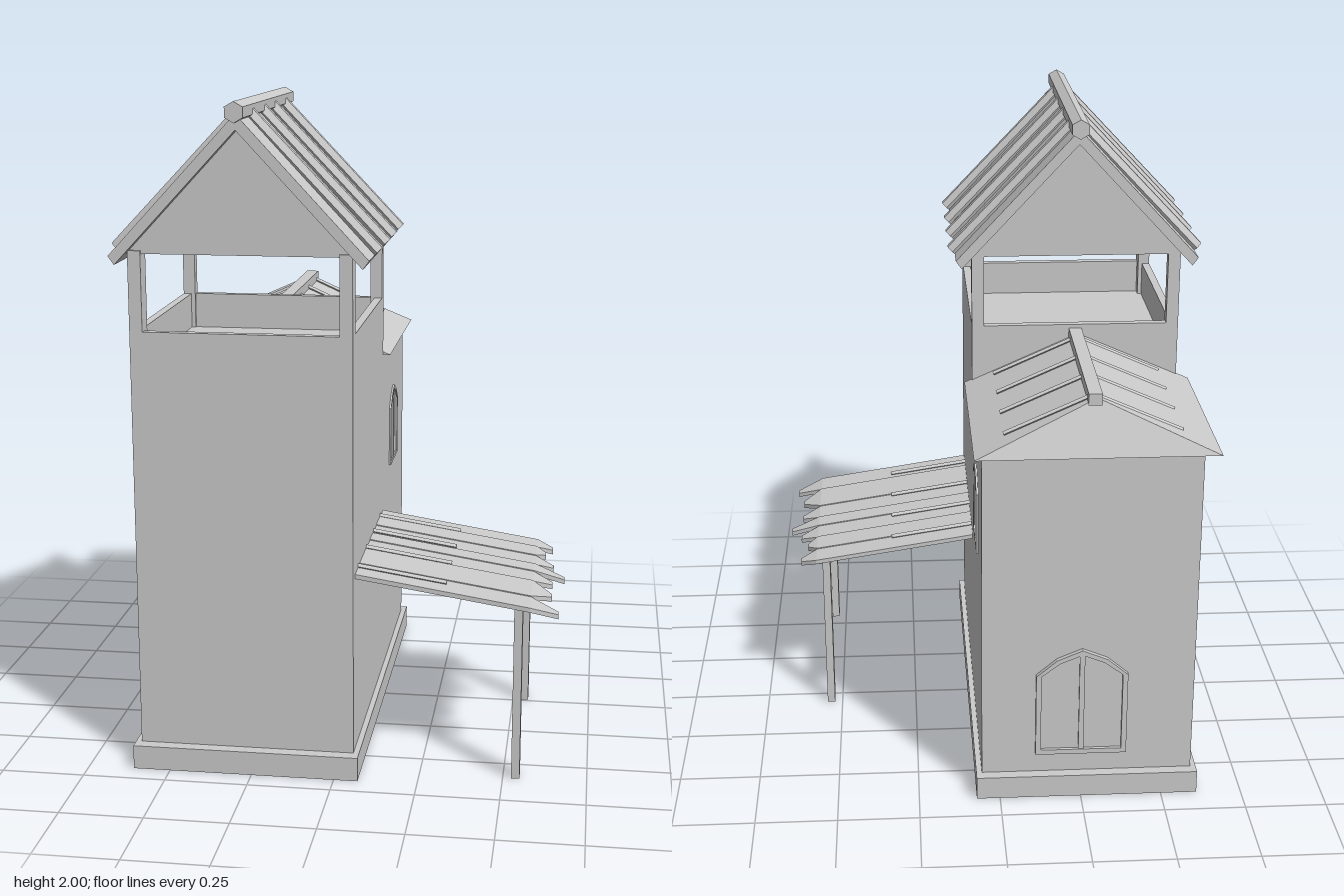
import * as THREE from 'three';

const CX = -0.27; // centre line of the buildings
const mat = new THREE.MeshStandardMaterial({ color: 0xcccccc, flatShading: true });

function add(parent, name, geo) {
  const m = new THREE.Mesh(geo, mat);
  m.name = name;
  parent.add(m);
  return m;
}

// Box given by its limits
function block(parent, name, x0, x1, y0, y1, z0, z1) {
  const m = add(parent, name, new THREE.BoxGeometry(x1 - x0, y1 - y0, z1 - z0));
  m.position.set((x0 + x1) / 2, (y0 + y1) / 2, (z0 + z1) / 2);
  return m;
}

function polygon(points) {
  return new THREE.Shape(points.map(p => new THREE.Vector2(p[0], p[1])));
}

// Outline in x,y pushed along z
function prism(points, z0, z1) {
  const g = new THREE.ExtrudeGeometry(polygon(points), { depth: z1 - z0, bevelEnabled: false });
  return g.translate(0, 0, z0);
}

// Straight rod between two points
function rod(parent, name, a, b, radius, sides) {
  const from = new THREE.Vector3(...a), dir = new THREE.Vector3(...b).sub(from);
  const m = add(parent, name, new THREE.CylinderGeometry(radius, radius, dir.length(), sides));
  m.position.copy(from).addScaledVector(dir, 0.5);
  m.quaternion.setFromUnitVectors(new THREE.Vector3(0, 1, 0), dir.normalize());
  return m;
}

// Pointed window: frame with a mullion, facing +z before turning
function archedWindow(parent, name, w, h, depth, bar) {
  const outline = (k) => {
    const hw = w / 2 - k;
    return [[-hw, k], [hw, k], [hw, h * 0.76], [hw * 0.55, h * 0.91 - k * 0.7], [0, h - k],
      [-hw * 0.55, h * 0.91 - k * 0.7], [-hw, h * 0.76]];
  };
  const win = new THREE.Group();
  win.name = name;
  const shape = polygon(outline(0));
  shape.holes.push(polygon(outline(bar)));
  add(win, 'windowFrame', new THREE.ExtrudeGeometry(shape, { depth, bevelEnabled: false }));
  block(win, 'windowMullion', -bar / 2, bar / 2, bar, h - bar, 0, depth * 0.8);
  add(win, 'windowPane', prism(outline(bar * 0.5), 0, depth * 0.3));
  parent.add(win);
  return win;
}

function buildTower(g) {
  const x0 = -0.595, x1 = 0.055, z0 = -0.06, z1 = 0.645, top = 1.34, t = 0.025;
  block(g, 'towerBody', x0, x1, 0.07, 1.23, z0, z1);
  // Parapet around the lookout floor
  block(g, 'parapetFront', x0, x1, 1.23, top, z1 - t, z1);
  block(g, 'parapetBack', x0, x1, 1.23, top, z0, z0 + t);
  block(g, 'parapetRight', x0, x0 + t, 1.23, top, z0 + t, z1 - t);
  block(g, 'parapetLeft', x1 - t, x1, 1.23, top, z0 + t, z1 - t);
  for (const x of [x0, x1 - 0.038]) {
    block(g, 'lookoutPost', x, x + 0.038, 1.23, 1.575, z1 - 0.058, z1);
    block(g, 'lookoutPost', x, x + 0.038, 1.23, 1.575, z0, z0 + 0.032);
  }
}

function buildTowerRoof(g) {
  // Solid gable under the slabs
  add(g, 'gable', prism([[CX - 0.345, 1.565], [CX + 0.345, 1.565], [CX, 1.93]], -0.06, 0.635));
  for (const s of [-1, 1]) {
    let pts = [[CX, 1.965], [CX, 1.92], [CX + s * 0.357, 1.537], [CX + s * 0.375, 1.562]];
    if (s < 0) pts = pts.reverse();
    add(g, 'roofSlab', prism(pts, -0.095, 0.67));
    for (const z of [0.005, 0.185, 0.352, 0.535]) {
      rod(g, 'roofBatten', [CX, 1.972, z], [CX + s * 0.383, 1.569, z], 0.022, 6);
    }
  }
  rod(g, 'ridgePole', [CX, 1.97, -0.12], [CX, 1.97, 0.69], 0.03, 6);
}

function buildRearHouse(g) {
  block(g, 'rearHouse', -0.595, 0.055, 0.07, 1.155, -0.625, -0.05);
  const roof = prism([[-0.635, 1.15], [0.079, 1.15], [CX - 0.008, 1.31]], -0.69, -0.05);
  const p = roof.attributes.position;
  // Lean the back gable inward to make a hip
  for (let i = 0; i < p.count; i++) {
    if (p.getY(i) > 1.2 && p.getZ(i) < -0.5) p.setZ(i, -0.625);
  }
  roof.computeVertexNormals();
  add(g, 'rearRoof', roof);
  block(g, 'rearRidgeBeam', CX - 0.02, CX + 0.02, 1.293, 1.328, -0.64, -0.05);
  for (const z of [-0.1, -0.267, -0.433, -0.6]) {
    for (const s of [-1, 1]) {
      rod(g, 'rearRoofBatten', [CX, 1.312, z], [CX + s * 0.26, 1.196, z], 0.007, 4);
    }
  }
}

function buildCanopy(g) {
  const slope = x => 0.608 - 0.155 * (Math.min(x, 0.57) - 0.05) - 0.36 * Math.max(x - 0.57, 0);
  // Board cut in plan and then dropped along the slope
  const board = (name, pts, lift) => {
    const shape = polygon(pts.map(([x, z]) => [x, -z]));
    const geo = new THREE.ExtrudeGeometry(shape, { depth: 0.014, bevelEnabled: false });
    geo.rotateX(-Math.PI / 2);
    const p = geo.attributes.position;
    for (let i = 0; i < p.count; i++) p.setY(i, p.getY(i) + slope(p.getX(i)) + lift);
    geo.computeVertexNormals();
    add(g, name, geo);
  };
  const seams = [-0.066, 0.018, 0.11, 0.197, 0.268, 0.36, 0.505, 0.604];
  const tips = [0.62, 0.6, 0.627, 0.663, 0.628, 0.63, 0.653];
  tips.forEach((tip, i) => {
    const a = seams[i], b = seams[i + 1], mid = (a + b) / 2, lift = (i % 2) * 0.003;
    board('canopyPlank', [[0.045, b], [0.57, b], [0.57, a], [0.045, a]], lift);
    board('plankTip', [[0.57, b], [tip, mid + 0.013], [tip, mid - 0.013], [0.57, a]], lift);
  });
  for (const z of [0.012, 0.18, 0.35, 0.535]) {
    rod(g, 'canopyBatten', [0.05, slope(0.05) + 0.018, z], [0.32, slope(0.32) + 0.018, z], 0.008, 4);
  }
  block(g, 'canopyPost', 0.525, 0.55, 0, 0.54, 0.555, 0.6);
  block(g, 'canopyPost', 0.525, 0.55, 0, 0.54, -0.055, -0.008);
}

function buildWindows(g) {
  const left = archedWindow(g, 'leftWindow', 0.195, 0.26, 0.006, 0.012);
  left.rotation.y = Math.PI / 2;
  left.position.set(0.055, 0.73, -0.332);
  const back = archedWindow(g, 'backDoor', 0.28, 0.36, 0.015, 0.016);
  back.rotation.y = Math.PI;
  back.position.set(-0.25, 0.14, -0.625);
  // z, bottom, width, height on the right wall
  for (const [z, y, w, h] of [[0.32, 0.285, 0.235, 0.31], [0.32, 0.785, 0.235, 0.31], [-0.31, 0.51, 0.26, 0.36]]) {
    const win = archedWindow(g, 'rightWindow', w, h, 0.015, 0.015);
    win.rotation.y = -Math.PI / 2;
    win.position.set(-0.595, y, z);
  }
}

export function createModel() {
  const model = new THREE.Group();
  model.name = 'watchtowerHouse';
  block(model, 'plinth', -0.612, 0.072, 0, 0.073, -0.658, 0.682);
  for (const [name, build] of [['tower', buildTower], ['towerRoof', buildTowerRoof],
    ['rearHouse', buildRearHouse], ['canopy', buildCanopy], ['windows', buildWindows]]) {
    const part = new THREE.Group();
    part.name = name;
    build(part);
    model.add(part);
  }
  return model;
}
